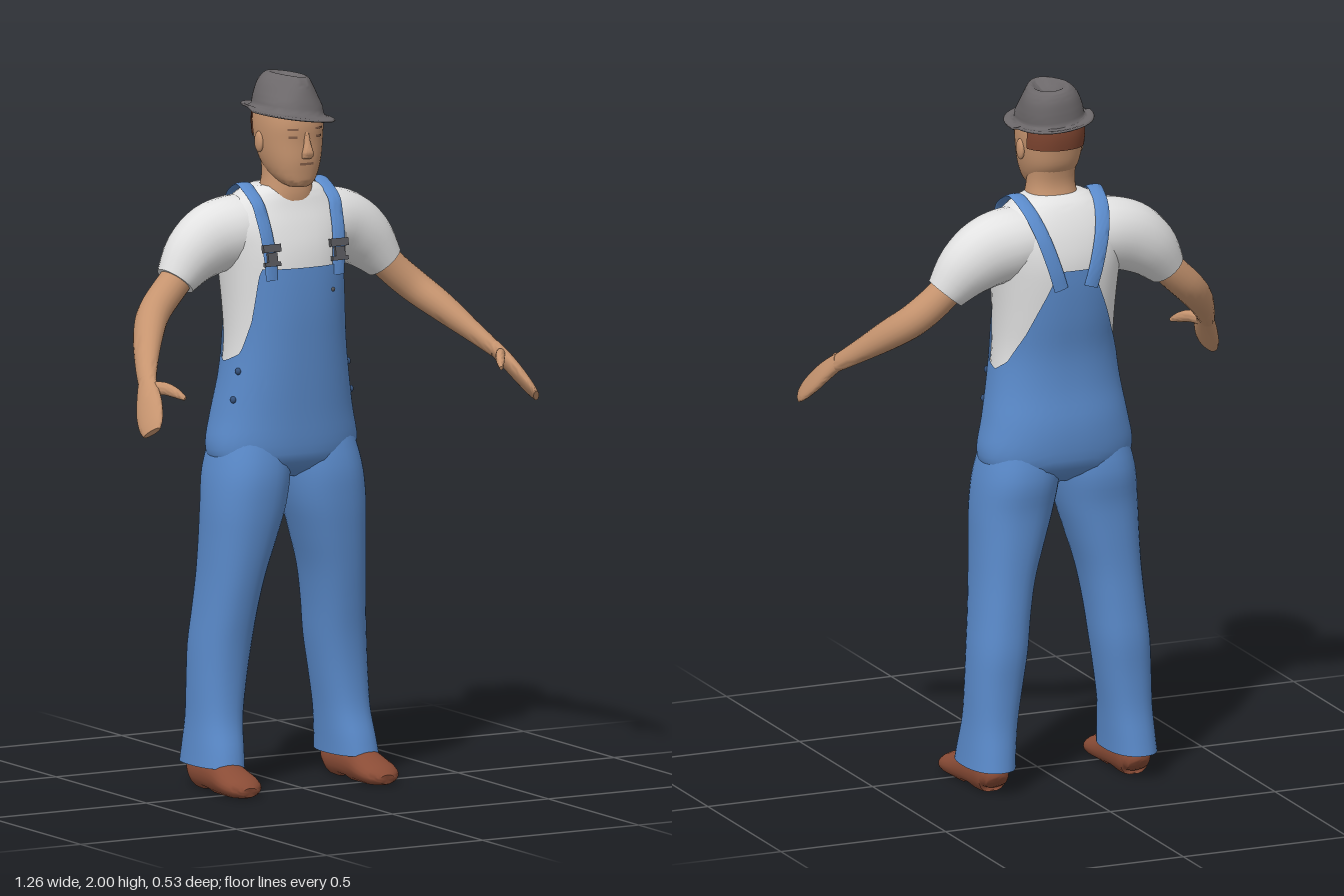
import * as THREE from 'three';
import { toCreasedNormals } from 'three/addons/utils/BufferGeometryUtils.js';

const V = (x, y, z) => new THREE.Vector3(x, y, z);
const mat = (name, color, side = THREE.FrontSide) => {
  const m = new THREE.MeshStandardMaterial({ color, side });
  m.name = name;
  return m;
};

// Smooth in-between rows for a short table
function refine(rows, steps = 4) {
  const out = [], at = i => rows[Math.max(0, Math.min(rows.length - 1, i))];
  for (let i = 0; i < rows.length - 1; i++) for (let k = 0; k < steps; k++) {
    const t = k / steps;
    out.push(rows[i].map((b, c) => {
      const a = at(i - 1)[c], d = at(i + 1)[c], e = at(i + 2)[c];
      return b + 0.5 * t * (d - a + t * (2 * a - 5 * b + 4 * d - e + t * (3 * (b - d) + e - a)));
    }));
  }
  out.push(rows[rows.length - 1]);
  return out;
}

// Skin over a list of point rows, optionally closing both ends
function skin(rings, capped = true) {
  const n = rings[0].length, pos = rings.flat().flatMap(p => [p.x, p.y, p.z]), idx = [];
  for (let i = 0; i < rings.length - 1; i++) for (let j = 0; j < n - 1; j++) {
    const a = i * n + j, d = a + n;
    idx.push(a, a + 1, d + 1, a, d + 1, d);
  }
  if (capped) [0, rings.length - 1].forEach((r, end) => {
    const c = V(0, 0, 0);
    rings[r].slice(1).forEach(p => c.addScaledVector(p, 1 / (n - 1)));
    const k = pos.length / 3;
    pos.push(c.x, c.y, c.z);
    for (let j = 0; j < n - 1; j++) {
      const a = r * n + j;
      end ? idx.push(a, a + 1, k) : idx.push(a + 1, a, k);
    }
  });
  const g = new THREE.BufferGeometry();
  g.setAttribute('position', new THREE.Float32BufferAttribute(pos, 3));
  g.setIndex(idx);
  return toCreasedNormals(g, 0.9);
}

const pw = (v, n) => Math.sign(v) * Math.pow(Math.abs(v), 2 / n);
const circle = (f, n = 36) => Array.from({ length: n + 1 }, (_, j) => f((j % n) / n * Math.PI * 2));

// Point on a level outline; row = [y, centre x, half width, front z, back z]
const onRow = ([y, cx, rx, f, b], a, off = 0, n = 2.3) =>
  V(cx + (rx + off) * pw(Math.sin(a), n), y, (f + b) / 2 + ((f - b) / 2 + off) * pw(Math.cos(a), n));
const level = rows => skin(refine(rows).map(r => circle(a => onRow(r, a))));

// Elliptical limb along a path; row = [x, y, z, half width, half thickness]
function limb(rows, hint, steps = 4) {
  const r = refine(rows, steps), P = r.map(q => V(q[0], q[1], q[2]));
  return skin(r.map((q, i) => {
    const D = P[Math.min(i + 1, P.length - 1)].clone().sub(P[Math.max(i - 1, 0)]).normalize();
    const u = hint.clone().addScaledVector(D, -hint.dot(D)).normalize();
    const v = u.clone().cross(D);
    return circle(a => P[i].clone().addScaledVector(u, q[3] * Math.sin(a)).addScaledVector(v, q[4] * Math.cos(a)), 20);
  }));
}

// Row of a refined profile at a given height
function rowAt(prof, y) {
  let i = 0;
  while (i < prof.length - 2 && prof[i + 1][0] < y) i++;
  const t = (y - prof[i][0]) / (prof[i + 1][0] - prof[i][0]);
  return prof[i].map((v, c) => v + (prof[i + 1][c] - v) * t);
}

// Thin panel lying on a profile between two angles (degrees, 0 = front)
function panel(prof, a0, a1, low, high, off, cols = 12, rows = 8) {
  return skin(Array.from({ length: rows + 1 }, (_, i) => Array.from({ length: cols + 1 }, (_, j) => {
    const d = a0 + (a1 - a0) * j / cols, top = typeof high === 'function' ? high(d) : high;
    return onRow(rowAt(prof, low + (top - low) * i / rows), d * Math.PI / 180, off);
  })), false);
}

// Upper edge of the overalls by angle from the front
const EDGE = [[0, 1.47], [42, 1.47], [47, 1.42], [56, 1.32], [70, 1.23], [95, 1.2], [115, 1.23],
  [135, 1.31], [155, 1.42], [168, 1.5], [180, 1.5]];
function edge(deg) {
  const d = Math.abs(deg);
  let i = 0;
  while (i < EDGE.length - 2 && EDGE[i + 1][0] < d) i++;
  const [p, q] = [EDGE[i], EDGE[i + 1]];
  return p[1] + (q[1] - p[1]) * (d - p[0]) / (q[0] - p[0]);
}

const TORSO = refine([[0.87, 0, 0.05, -0.06, -0.17], [0.91, 0, 0.19, 0, -0.23], [0.96, 0, 0.218, 0.014, -0.248],
  [1.05, 0, 0.202, 0.018, -0.25], [1.15, 0, 0.184, 0.023, -0.235], [1.25, 0, 0.172, 0.027, -0.233],
  [1.35, 0, 0.172, 0.03, -0.248], [1.45, 0, 0.18, 0.027, -0.258], [1.52, 0, 0.19, 0.018, -0.258],
  [1.58, 0, 0.2, 0, -0.245], [1.63, 0, 0.175, -0.02, -0.225], [1.67, 0, 0.13, -0.035, -0.2], [1.69, 0, 0.09, -0.05, -0.175]]);
const HEAD = refine([[1.693, 0, 0.028, 0.006, -0.05], [1.705, 0, 0.048, 0.016, -0.09], [1.73, 0, 0.066, 0.021, -0.13],
  [1.77, 0, 0.08, 0.026, -0.165], [1.82, 0, 0.088, 0.026, -0.18], [1.87, 0, 0.09, 0.028, -0.188], [1.92, 0, 0.084, 0.018, -0.183]]);

// Depth of the torso surface at a given x and height
function torsoZ(x, y, dir) {
  const [, , rx, f, b] = rowAt(TORSO, y), k = Math.min(1, Math.abs(x) / rx);
  return (f + b) / 2 + dir * (f - b) / 2 * Math.pow(1 - Math.pow(k, 2.3), 1 / 2.3);
}

export function createModel() {
  const model = new THREE.Group();
  const blue = mat('denim blue', 0x5a8aca, THREE.DoubleSide), white = mat('shirt white', 0xe2e2e2);
  const skinTone = mat('skin', 0xc6946f), grey = mat('hat grey', 0x6c686a), brown = mat('shoe brown', 0x8a4c36);
  const hairTone = mat('hair', 0x7e4530, THREE.DoubleSide), metal = mat('buckle grey', 0x58585c);
  const dark = mat('face detail', 0x86604a, THREE.DoubleSide), navy = mat('button blue', 0x35527c);
  const add = (name, geo, m, parent = model) => {
    const mesh = new THREE.Mesh(geo, m);
    mesh.name = name;
    parent.add(mesh);
    return mesh;
  };
  const ball = (name, m, p, s) => {
    const b = add(name, new THREE.SphereGeometry(1, 16, 12), m);
    b.position.set(...p);
    b.scale.set(...s);
  };

  // Shirt body and overalls body
  add('shirt', skin(TORSO.filter(r => r[0] > 1.1).map(r => circle(a => onRow(r, a)))), white);
  add('overalls', panel(TORSO, -180, 180, 0.87, edge, 0.006, 90, 24), blue);

  // Neck, head and face
  add('neck', level([[1.6, 0, 0.088, -0.035, -0.18], [1.66, 0, 0.078, -0.026, -0.165],
    [1.72, 0, 0.067, -0.032, -0.15], [1.79, 0, 0.068, -0.04, -0.165]]), skinTone);
  add('head', skin(HEAD.map(r => circle(a => onRow(r, a)))), skinTone);
  add('nose', limb([[0, 1.778, 0.026, 0.016, 0.006], [0, 1.79, 0.032, 0.017, 0.015],
    [0, 1.815, 0.028, 0.01, 0.012], [0, 1.85, 0.022, 0.007, 0.007]], V(1, 0, 0)), skinTone);
  add('mouth', panel(HEAD, -13, 13, 1.757, 1.764, 0.002, 8, 2), dark);
  add('hair', panel(HEAD, 112, 248, 1.825, 1.91, 0.004, 20, 6), hairTone);
  for (const s of [-1, 1]) {
    add('eye', panel(HEAD, s * 24 - 8, s * 24 + 8, 1.833, 1.84, 0.002, 6, 2), dark);
    add('eyebrow', panel(HEAD, s * 24 - 10, s * 24 + 10, 1.856, 1.862, 0.002, 6, 2), dark);
    ball('ear', skinTone, [s * 0.089, 1.815, -0.085], [0.01, 0.03, 0.02]);
  }

  // Hat: brim, crown and dented top, pinched at the front and worn tilted
  const hatGeo = level([[1.888, 0, 0.085, 0.03, -0.19], [1.882, 0, 0.11, 0.075, -0.23], [1.889, 0, 0.113, 0.078, -0.234],
    [1.898, 0, 0.094, 0.036, -0.2], [1.93, 0, 0.088, 0.02, -0.196], [1.965, 0, 0.078, 0.004, -0.192],
    [1.988, 0, 0.063, -0.01, -0.182], [1.997, 0, 0.046, -0.025, -0.168], [1.985, 0, 0.028, -0.045, -0.145], [1.975, 0, 0.01, -0.07, -0.12]]);
  const hp = hatGeo.attributes.position;
  for (let i = 0; i < hp.count; i++) {
    const x = hp.getX(i), y = hp.getY(i), z = hp.getZ(i);
    const rise = THREE.MathUtils.clamp((y - 1.92) / 0.06, 0, 1), fore = THREE.MathUtils.clamp((z + 0.1) / 0.1, 0, 1);
    hp.setX(i, x * (1 - 0.4 * rise * fore));
    const brim = THREE.MathUtils.clamp((Math.hypot(x / 0.113, (z + 0.078) / 0.156) - 0.8) * 5, 0, 1);
    hp.setY(i, y - 1.9 + (y < 1.9 ? brim * 0.012 * (z < -0.08 ? 1 : 0.2) : 0));
  }
  hatGeo.computeVertexNormals();
  const hat = add('hat', toCreasedNormals(hatGeo, 0.9), grey);
  hat.position.y = 1.9;
  hat.rotation.z = -0.13;

  for (const s of [-1, 1]) {
    const side = new THREE.Group();
    side.name = s > 0 ? 'leftSide' : 'rightSide';
    model.add(side);
    const flip = rows => rows.map(([x, ...r]) => [x * s, ...r]);

    // Trouser leg and shoe
    const leg = [[0.07, 0.145, 0.285, -0.003, -0.252], [0.12, 0.142, 0.28, -0.015, -0.245], [0.2, 0.135, 0.273, -0.038, -0.235],
      [0.3, 0.12, 0.27, -0.045, -0.235], [0.4, 0.105, 0.265, -0.04, -0.24], [0.5, 0.093, 0.255, -0.025, -0.235],
      [0.6, 0.075, 0.247, -0.008, -0.23], [0.7, 0.045, 0.243, 0.007, -0.23], [0.8, 0.015, 0.24, 0.018, -0.232],
      [0.9, 0, 0.228, 0.018, -0.243], [1.02, 0, 0.195, -0.01, -0.22]];
    add('trouserLeg', level(leg.map(([y, i, o, f, b]) => [y, s * (i + o) / 2, (o - i) / 2, f, b])), blue, side);
    const shoe = limb(flip([[0.215, 0.035, -0.205, 0.03, 0.03], [0.215, 0.05, -0.185, 0.045, 0.052], [0.217, 0.05, -0.12, 0.047, 0.056],
      [0.219, 0.046, -0.05, 0.052, 0.052], [0.22, 0.036, 0.02, 0.06, 0.038], [0.22, 0.028, 0.065, 0.052, 0.028],
      [0.22, 0.022, 0.092, 0.024, 0.014]]), V(1, 0, 0));
    const sp = shoe.attributes.position;
    for (let i = 0; i < sp.count; i++) sp.setY(i, Math.max(sp.getY(i), sp.getZ(i) < -0.06 && sp.getZ(i) > -0.12 ? 0.012 : 0.004) - 0.004);
    shoe.computeVertexNormals();
    add('shoe', toCreasedNormals(shoe, 0.9), brown, side);

    // Sleeve, arm, hand and thumb
    add('sleeve', limb(flip([[0.06, 1.57, -0.13, 0.1, 0.09], [0.14, 1.562, -0.132, 0.1, 0.102], [0.215, 1.543, -0.135, 0.088, 0.1],
      [0.28, 1.5, -0.133, 0.075, 0.085], [0.335, 1.437, -0.125, 0.055, 0.058]]), V(0, 0, 1)), white, side);
    const palm = V(s * -0.5, 0.6, 0.6);
    add('arm', limb(flip([[0.29, 1.485, -0.127, 0.045, 0.045], [0.36, 1.415, -0.118, 0.046, 0.046], [0.42, 1.36, -0.095, 0.047, 0.045],
      [0.47, 1.31, -0.04, 0.045, 0.04], [0.525, 1.245, 0.045, 0.035, 0.028], [0.56, 1.2, 0.11, 0.028, 0.02]]), palm), skinTone, side);
    add('hand', limb(flip([[0.555, 1.21, 0.1, 0.027, 0.02], [0.575, 1.175, 0.14, 0.038, 0.02], [0.592, 1.14, 0.177, 0.045, 0.018],
      [0.608, 1.105, 0.213, 0.041, 0.014], [0.616, 1.086, 0.233, 0.03, 0.009]]), palm), skinTone, side);
    add('thumb', limb(flip([[0.567, 1.19, 0.125, 0.018, 0.014], [0.54, 1.195, 0.165, 0.018, 0.013],
      [0.52, 1.185, 0.2, 0.014, 0.011], [0.507, 1.172, 0.228, 0.006, 0.005]]), palm), skinTone, side);

    // Shoulder strap following the shirt from bib to back panel
    const strap = [];
    for (const y of [1.44, 1.5, 1.56, 1.61, 1.65]) strap.push([0.105 + (y - 1.44) * 0.08, y, torsoZ(0.11, y, 1) + 0.012, 0.02, 0.005]);
    strap.push([0.121, 1.683, -0.09, 0.021, 0.005], [0.118, 1.692, -0.13, 0.021, 0.005]);
    for (const y of [1.66, 1.61, 1.56, 1.5, 1.45]) {
      const x = 0.045 + Math.max(0, y - 1.45) * 0.3;
      strap.push([x, y, torsoZ(x, y, -1) - 0.012, 0.021, 0.005]);
    }
    add('strap', limb(flip(strap), V(1, 0, 0)), blue, side);

    // Buckle and hip buttons
    for (const [y, w, h] of [[1.53, 0.056, 0.022], [1.505, 0.03, 0.026], [1.486, 0.05, 0.012]]) {
      const b = add('buckle', new THREE.BoxGeometry(w, h, 0.012), metal, side);
      b.position.set(s * 0.108, y, torsoZ(0.108, y, 1) + 0.018);
      b.rotation.x = -0.2;
    }
    for (const y of [1.18, 1.1]) {
      const p = onRow(rowAt(TORSO, y), 70 * Math.PI / 180, 0.006);
      ball('hipButton', navy, [s * p.x, y, p.z], [0.008, 0.01, 0.01]);
    }
  }
  ball('bibButton', metal, [0.085, 1.4, torsoZ(0.085, 1.4, 1) + 0.007], [0.006, 0.006, 0.004]);
  return model;
}
